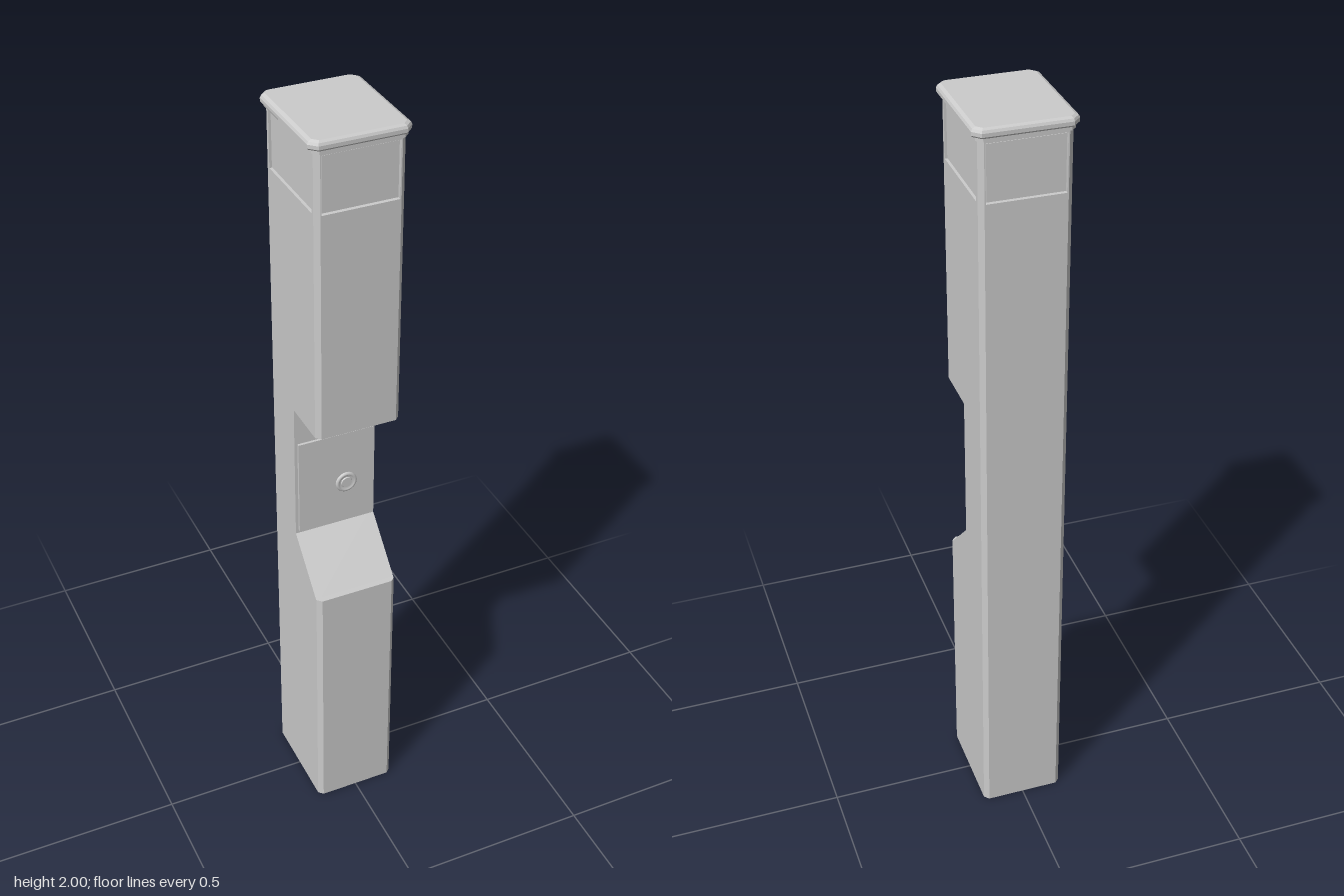
import * as THREE from 'three';

const HX = 0.11, HZ = 0.14;        // half width and depth of the post
const WX = 0.095, WZ = 0.118;      // half widths of the lamp windows
const RECESS = 0.01;

// Chamfered rectangle, counter-clockwise seen from above
function chamferedPlan(hx, hz, c) {
  return [[hx, hz - c], [hx, c - hz], [hx - c, -hz], [c - hx, -hz],
    [-hx, c - hz], [-hx, hz - c], [c - hx, hz], [hx - c, hz]];
}

// Post plan: as above, with a window step of depth r on every side
function postPlan(r) {
  const c = 0.012;
  const half = [
    [HX, HZ - c], [HX, WZ], [HX - r, WZ], [HX - r, -WZ], [HX, -WZ], [HX, c - HZ],
    [HX - c, -HZ], [WX, -HZ], [WX, r - HZ], [-WX, r - HZ], [-WX, -HZ], [c - HX, -HZ],
  ];
  return [...half, ...half.map(([x, z]) => [-x, -z])];
}

// Skin stacked rings of [x, z] points, closed at both ends
function loft(rings) {
  const pos = [], n = rings[0].points.length;
  const P = rings.map(({ y, points }) => points.map(([x, z]) => [x, y, z]));
  for (let k = 0; k + 1 < P.length; k++) {
    for (let i = 0; i < n; i++) {
      const j = (i + 1) % n;
      const a = P[k][i], b = P[k][j], c = P[k + 1][j], d = P[k + 1][i];
      pos.push(...a, ...b, ...c, ...a, ...c, ...d);
    }
  }
  const first = P[0], last = P[P.length - 1];
  for (let i = 0; i < n; i++) {
    const j = (i + 1) % n;
    pos.push(0, first[0][1], 0, ...first[j], ...first[i]);
    pos.push(0, last[0][1], 0, ...last[i], ...last[j]);
  }
  const g = new THREE.BufferGeometry();
  g.setAttribute('position', new THREE.Float32BufferAttribute(pos, 3));
  g.computeVertexNormals();
  return g;
}

export function createModel() {
  const group = new THREE.Group();
  const material = new THREE.MeshStandardMaterial({ color: 0xcccccc });
  const add = (name, geometry, x = 0, y = 0, z = 0) => {
    const mesh = new THREE.Mesh(geometry, material);
    mesh.name = name;
    mesh.position.set(x, y, z);
    group.add(mesh);
    return mesh;
  };

  // Post: [height, front limit in z, window recess]; the limit cuts the niche
  const levels = [
    [0, HZ, 0], [0.715, HZ, 0], [0.715, 0.125, 0], [0.84, 0, 0], [1.225, 0, 0],
    [1.225, HZ, 0], [1.82, HZ, 0], [1.82, HZ, RECESS], [1.963, HZ, RECESS],
    [1.963, HZ, 0], [1.975, HZ, 0],
  ];
  add('post', loft(levels.map(([y, limit, r]) => ({
    y, points: postPlan(r).map(([x, z]) => [x, Math.min(z, limit)]),
  }))));

  // Cap with a stepped underside and bevelled top: [height, half width, half depth, chamfer]
  const capLevels = [
    [1.968, 0.115, 0.144, 0.014], [1.977, 0.115, 0.144, 0.014],
    [1.977, 0.121, 0.146, 0.018], [1.981, 0.124, 0.149, 0.019],
    [1.99, 0.124, 0.149, 0.019], [1.996, 0.121, 0.146, 0.017], [2, 0.113, 0.14, 0.013],
  ];
  add('cap', loft(capLevels.map(([y, hx, hz, c]) => ({ y, points: chamferedPlan(hx, hz, c) }))));

  // Lamp panes set back inside the four windows
  const paneY = (1.82 + 1.963) / 2, paneH = 0.137, paneT = 0.005;
  for (const s of [1, -1]) {
    add(s > 0 ? 'frontPane' : 'backPane',
      new THREE.BoxGeometry(2 * WX - 0.006, paneH, paneT), 0, paneY, s * (HZ - RECESS + paneT / 2));
    add(s > 0 ? 'leftPane' : 'rightPane',
      new THREE.BoxGeometry(paneT, paneH, 2 * WZ - 0.006), s * (HX - RECESS + paneT / 2), paneY, 0);
  }

  // Access door in the niche
  add('accessDoor', new THREE.BoxGeometry(0.204, 0.27, 0.008), 0, 0.985, 0.003);

  // Round lock: raised rim around a lower barrel
  const lock = new THREE.Group();
  lock.name = 'lock';
  lock.position.set(0.028, 0.97, 0.007);
  const profile = [[0.029, 0], [0.029, 0.003], [0.026, 0.006], [0.021, 0.006], [0.019, 0.003], [0, 0.003]];
  const rim = new THREE.Mesh(
    new THREE.LatheGeometry(profile.map(([r, h]) => new THREE.Vector2(r, h)), 24), material);
  rim.name = 'lockRim';
  rim.rotation.x = Math.PI / 2;
  const barrel = new THREE.Mesh(new THREE.CylinderGeometry(0.014, 0.016, 0.004, 24), material);
  barrel.name = 'lockBarrel';
  barrel.rotation.x = Math.PI / 2;
  barrel.position.z = 0.004;
  lock.add(rim, barrel);
  group.add(lock);

  return group;
}
